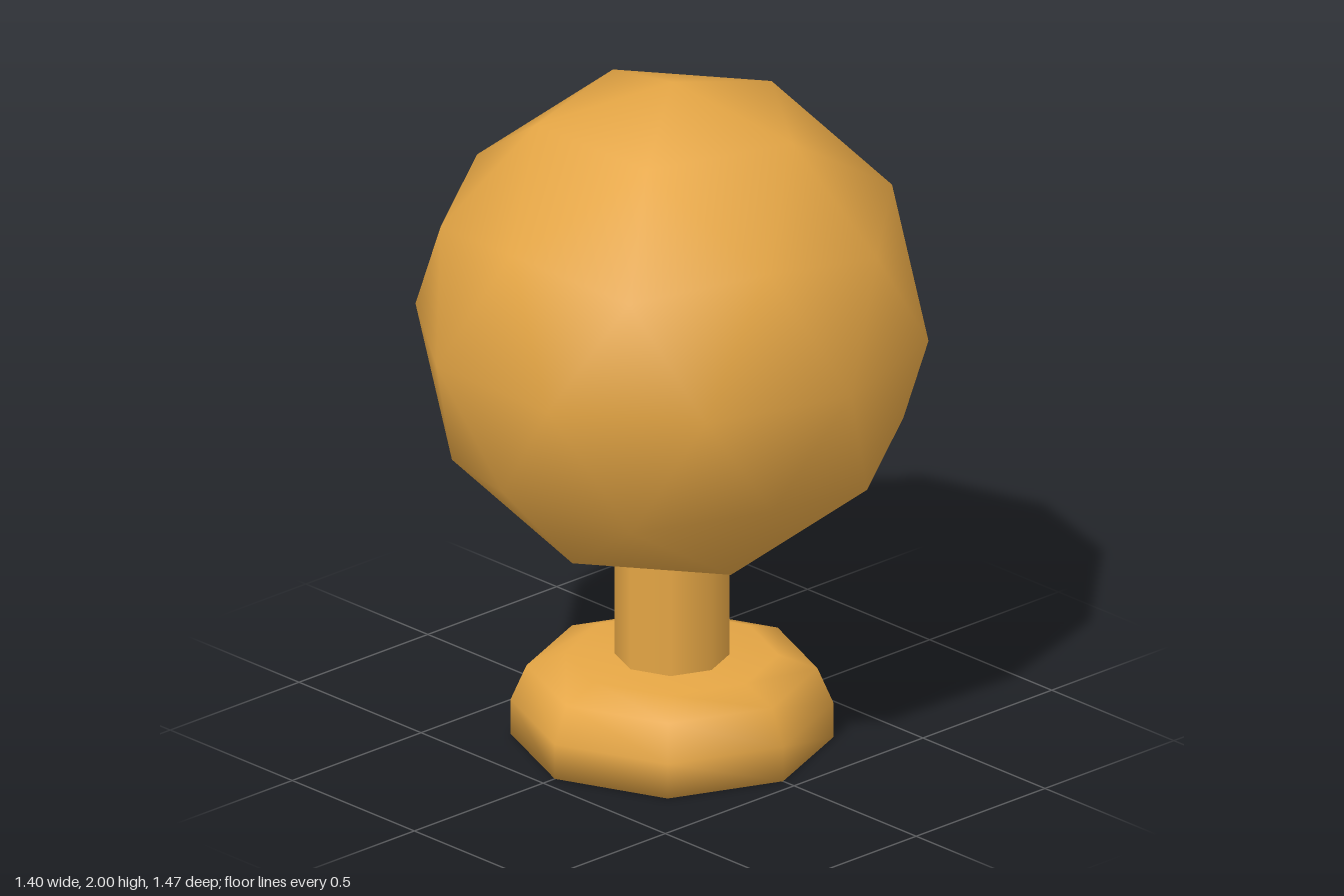
import * as THREE from 'three';
import { mergeVertices } from 'three/addons/utils/BufferGeometryUtils.js';

const SIDES = 8;

// Welds a geometry so it shades smoothly across every edge
function smooth(geometry) {
  geometry.deleteAttribute('uv');
  geometry.deleteAttribute('normal');
  const welded = mergeVertices(geometry, 1e-4);
  welded.computeVertexNormals();
  return welded;
}

export function createModel() {
  const group = new THREE.Group();
  const material = new THREE.MeshStandardMaterial({ color: 0xe5a645 });

  const add = (name, geometry, y = 0) => {
    const mesh = new THREE.Mesh(geometry, material);
    mesh.name = name;
    mesh.position.y = y;
    group.add(mesh);
  };

  // Round knob: once-divided icosahedron turned to stand on a vertex
  const ball = new THREE.IcosahedronGeometry(0.735, 1);
  ball.rotateZ(-Math.atan(2 / (1 + Math.sqrt(5))));
  add('ball', smooth(ball), 1.265);

  // Eight-sided neck running from inside the base into the ball
  add('neck', new THREE.CylinderGeometry(0.162, 0.162, 0.5, SIDES), 0.45);

  // Eight-sided foot with a rounded shoulder, closed top and bottom
  const profile = [[0, 0], [0.455, 0], [0.455, 0.105], [0.41, 0.21], [0.3, 0.25], [0, 0.25]]
    .map(([r, y]) => new THREE.Vector2(r, y));
  add('base', smooth(new THREE.LatheGeometry(profile, SIDES)));

  return group;
}
